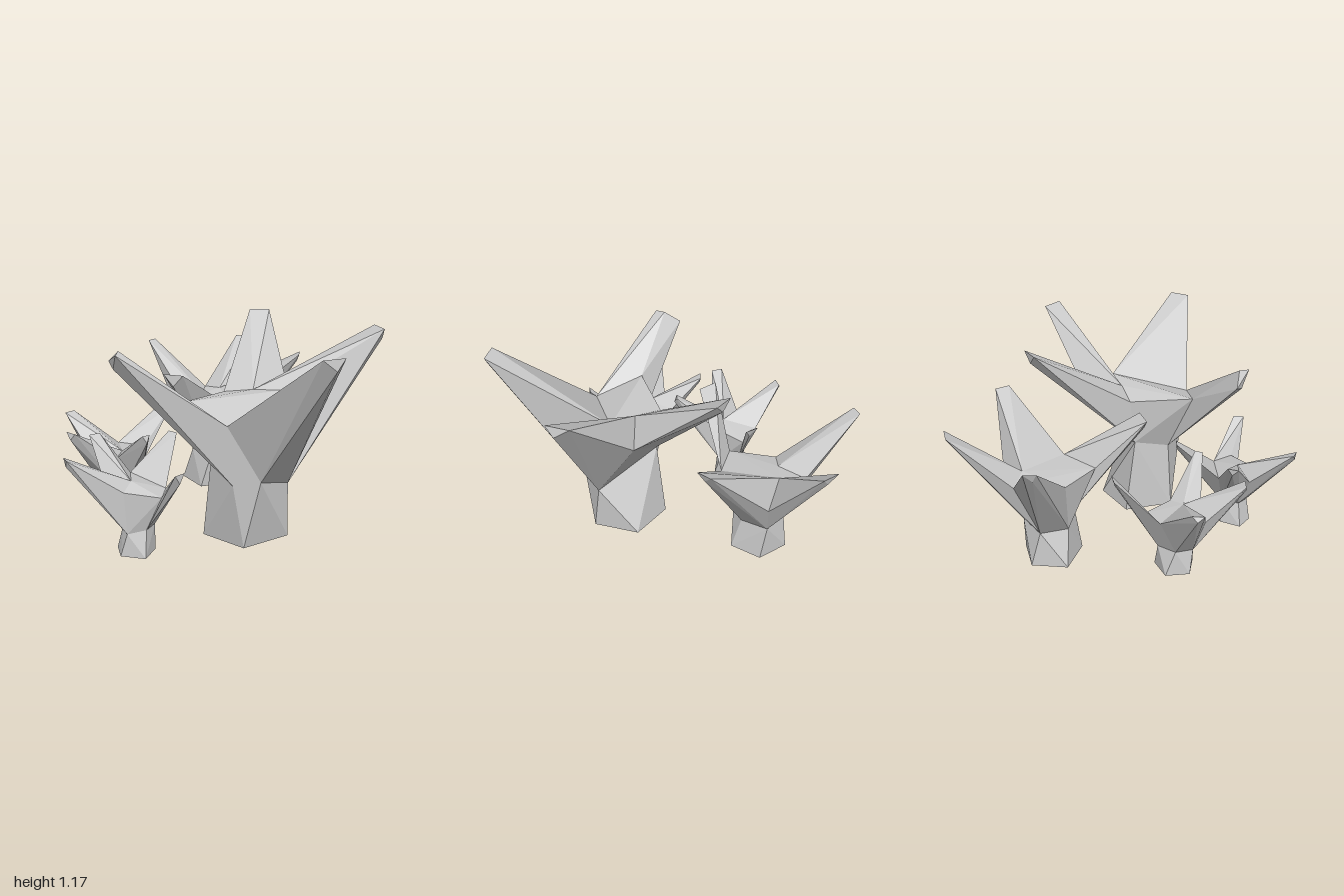
import * as THREE from 'three';
import { ConvexGeometry } from 'three/addons/geometries/ConvexGeometry.js';

const material = new THREE.MeshStandardMaterial({ color: 0xcccccc, flatShading: true });

function hull(name, points) {
  const mesh = new THREE.Mesh(new ConvexGeometry(points.map((p) => new THREE.Vector3(...p))), material);
  mesh.name = name;
  return mesh;
}

// base: ground outline [x, z]; waist: corners above the stem;
// crown: corners where branches meet; branches: root corners (w = waist, c = crown) and tip corners
function coral(name, { ground, base, waist, crown, branches }) {
  const group = new THREE.Group();
  group.name = name;
  group.add(hull('stem', [...base.map(([x, z]) => [x, ground, z]), ...waist]));
  group.add(hull('crown', [...waist, ...crown]));
  branches.forEach(({ w, c, tip }) => {
    group.add(hull('branch', [...w.map((i) => waist[i]), ...c.map((i) => crown[i]), ...tip]));
  });
  return group;
}

const corals = {
  // tall one at the front
  largeCoral: {
    ground: 0.02,
    base: [[0.435, 0.43], [0.2, 0.62], [-0.04, 0.46], [0.05, 0.17], [0.33, 0.165]],
    waist: [[0.43, 0.32, 0.38], [0.29, 0.42, 0.65], [0.14, 0.39, 0.64], [0, 0.44, 0.45], [0.05, 0.5, 0.23]],
    crown: [[0.39, 0.83, 0.28], [0.11, 0.73, 0.66], [-0.15, 0.81, 0.51], [0.05, 0.79, 0.19], [0.22, 0.82, 0.24], [0.42, 0.76, 0.08]],
    branches: [
      { w: [0, 1], c: [0, 1], tip: [[0.58, 1.17, 1], [0.69, 1.17, 0.94], [0.65, 1.11, 0.97]] },
      { w: [0], c: [0, 4, 5], tip: [[0.89, 1.17, 0.07], [0.935, 1.17, 0.2], [0.93, 1.11, 0.15]] },
      { w: [4], c: [3, 4, 5], tip: [[0.16, 1.17, -0.39], [0.28, 1.17, -0.39], [0.22, 1.11, -0.385]] },
      { w: [2, 3], c: [1, 2], tip: [[-0.47, 1.1, 0.58], [-0.47, 1.09, 0.65], [-0.54, 1.03, 0.51], [-0.5, 1, 0.58]] },
    ],
  },
  // wide one at the back
  backCoral: {
    ground: 0.015,
    base: [[0.06, -0.36], [0.04, -0.56], [-0.15, -0.62], [-0.28, -0.45], [-0.14, -0.27]],
    waist: [[0.02, 0.22, -0.4], [-0.07, 0.25, -0.28], [-0.21, 0.23, -0.4], [-0.18, 0.24, -0.57], [0.01, 0.24, -0.58]],
    crown: [[0.06, 0.56, -0.27], [-0.15, 0.54, -0.18], [-0.26, 0.55, -0.44], [-0.16, 0.58, -0.71], [0.11, 0.48, -0.64], [-0.05, 0.6, -0.6], [-0.16, 0.58, -0.52]],
    branches: [
      { w: [0, 4], c: [0, 4, 5], tip: [[0.475, 0.88, -0.41], [0.475, 0.88, -0.5], [0.46, 0.83, -0.45]] },
      { w: [3, 4], c: [3, 4, 5], tip: [[0.03, 0.88, -1], [0.13, 0.88, -0.97], [0.09, 0.83, -0.97]] },
      { w: [2, 3], c: [2, 3, 6], tip: [[-0.52, 0.88, -0.82], [-0.555, 0.88, -0.76], [-0.53, 0.83, -0.77]] },
      { w: [1], c: [0, 1], tip: [[-0.32, 0.85, 0.06], [-0.2, 0.85, 0.09], [-0.26, 0.78, 0.08]] },
    ],
  },
  // small one at the model's right
  sideCoral: {
    ground: 0,
    base: [[-0.47, 0.16], [-0.59, 0.225], [-0.69, 0.13], [-0.63, 0], [-0.49, 0.02]],
    waist: [[-0.47, 0.14, 0.12], [-0.56, 0.15, 0.2], [-0.67, 0.15, 0.16], [-0.65, 0.16, 0.05], [-0.53, 0.15, 0.01]],
    crown: [[-0.46, 0.38, 0.14], [-0.58, 0.38, 0.27], [-0.74, 0.37, 0.18], [-0.63, 0.38, -0.05], [-0.47, 0.36, -0.06], [-0.56, 0.4, 0.16]],
    branches: [
      { w: [0, 1], c: [0, 1, 5], tip: [[-0.35, 0.58, 0.39], [-0.385, 0.58, 0.42], [-0.36, 0.54, 0.42]] },
      { w: [1, 2], c: [1, 2, 5], tip: [[-0.77, 0.58, 0.42], [-0.83, 0.58, 0.38], [-0.8, 0.54, 0.41]] },
      { w: [2, 3], c: [2, 3, 5], tip: [[-0.94, 0.58, 0.01], [-0.9, 0.58, -0.045], [-0.93, 0.55, -0.03]] },
      { w: [4], c: [3, 4], tip: [[-0.4, 0.58, -0.21], [-0.32, 0.58, -0.18], [-0.36, 0.53, -0.18]] },
    ],
  },
  // small one at the front corner
  frontCoral: {
    ground: 0.02,
    base: [[-0.28, 0.67], [-0.31, 0.8], [-0.45, 0.78], [-0.49, 0.67], [-0.38, 0.6]],
    waist: [[-0.28, 0.17, 0.67], [-0.31, 0.17, 0.76], [-0.41, 0.15, 0.78], [-0.45, 0.17, 0.68], [-0.37, 0.17, 0.61]],
    crown: [[-0.22, 0.37, 0.65], [-0.22, 0.37, 0.79], [-0.42, 0.39, 0.79], [-0.55, 0.38, 0.66], [-0.44, 0.4, 0.51], [-0.4, 0.42, 0.69]],
    branches: [
      { w: [0, 1], c: [0, 1], tip: [[-0.08, 0.56, 0.91], [-0.12, 0.56, 0.96], [-0.1, 0.51, 0.94]] },
      { w: [2, 3], c: [2, 3, 5], tip: [[-0.69, 0.59, 0.88], [-0.72, 0.59, 0.83], [-0.7, 0.55, 0.86]] },
      { w: [3, 4], c: [3, 4, 5], tip: [[-0.68, 0.59, 0.45], [-0.63, 0.59, 0.41], [-0.65, 0.55, 0.43]] },
      { w: [0, 4], c: [0, 4], tip: [[-0.25, 0.59, 0.33], [-0.2, 0.59, 0.36], [-0.21, 0.54, 0.36]] },
    ],
  },
};

export function createModel() {
  const model = new THREE.Group();
  model.name = 'coralCluster';
  for (const [name, spec] of Object.entries(corals)) model.add(coral(name, spec));
  return model;
}
